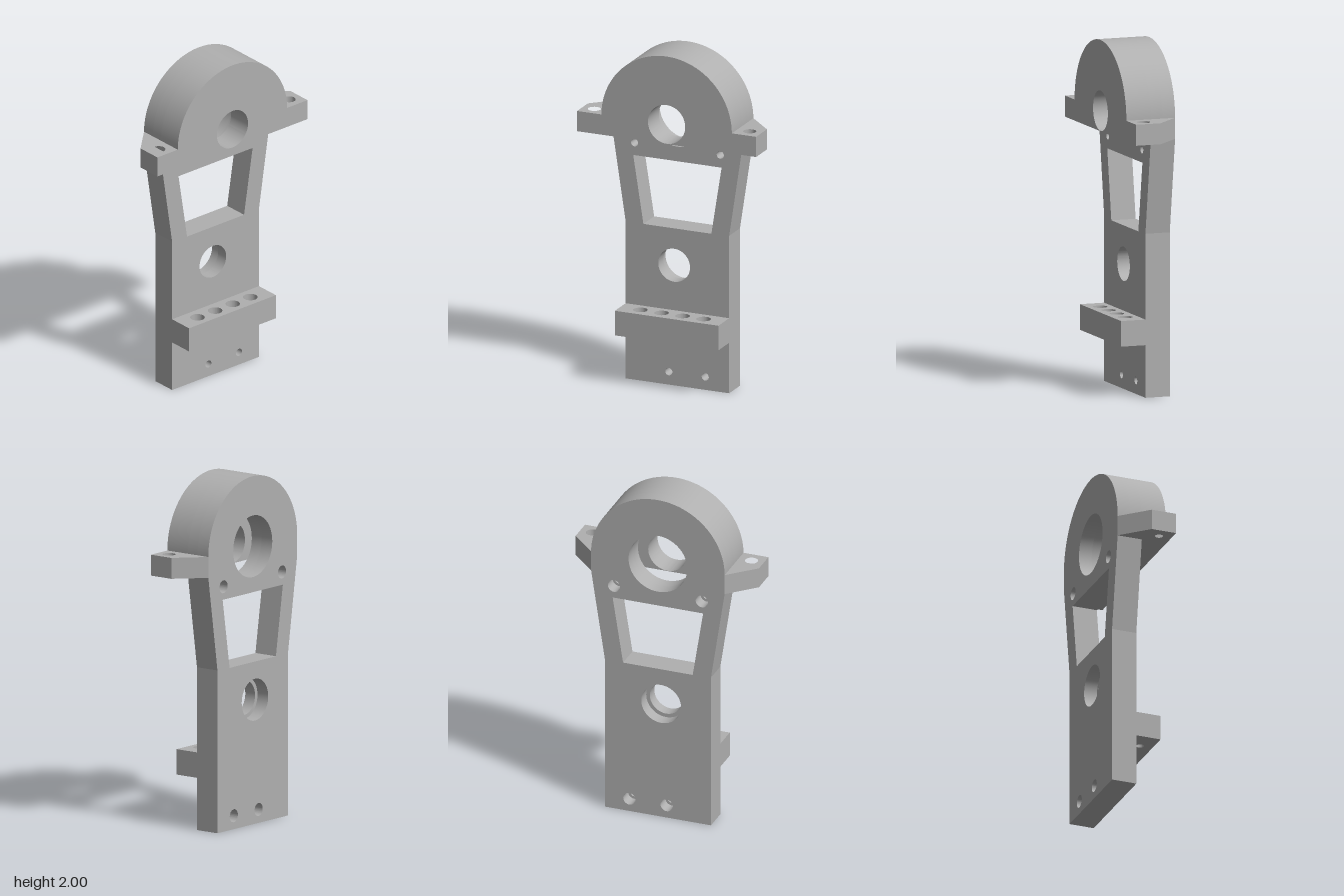
import * as THREE from 'three';
import { toCreasedNormals } from 'three/addons/utils/BufferGeometryUtils.js';

const HALF = 0.147;       // half of the total depth
const AXIS_Y = 1.597;     // height of the bearing axis
const HEAD_R = 0.403;     // radius of the domed head
const SHOULDER = 1.482;   // underside of the head and ears
const SCREW = 0.022, SINK = 0.037; // screw hole and counterbore radii

export function createModel() {
  const model = new THREE.Group();
  const metal = new THREE.MeshStandardMaterial({ color: 0xb0b0b0 });
  metal.name = 'grey metal';

  const polygon = (points) => new THREE.Shape(points.map(([x, y]) => new THREE.Vector2(x, y)));
  const circle = ([x, y], r) => new THREE.Path().absarc(x, y, r, 0, Math.PI * 2, true);
  const extrude = (shape, holes, depth) => {
    shape.holes.push(...holes);
    return new THREE.ExtrudeGeometry(shape, { depth, bevelEnabled: false, curveSegments: 36 });
  };
  const add = (name, geometry) => {
    const mesh = new THREE.Mesh(toCreasedNormals(geometry, 0.12), metal);
    mesh.name = name;
    model.add(mesh);
  };
  // Slab with its profile in x and y, between two depths
  const upright = (name, shape, holes, z0, z1) =>
    add(name, extrude(shape, holes, z1 - z0).translate(0, 0, z0));
  // Slab with its profile in x and z, between two heights
  const level = (name, shape, holes, y0, y1) =>
    add(name, extrude(shape, holes, y1 - y0).rotateX(Math.PI / 2).translate(0, y1, 0));

  // Back plate: two layers, the rear one with wider counterbores
  const plateShape = () => {
    const s = new THREE.Shape();
    s.moveTo(-0.32, 0);
    s.lineTo(0.32, 0);
    s.lineTo(0.32, 0.935);
    s.lineTo(HEAD_R, SHOULDER);
    s.lineTo(HEAD_R, AXIS_Y);
    s.absarc(0, AXIS_Y, HEAD_R, 0, Math.PI, false);
    s.lineTo(-HEAD_R, SHOULDER);
    s.lineTo(-0.32, 0.935);
    s.closePath();
    return s;
  };
  const screws = [[-0.265, 1.407], [0.265, 1.407], [-0.053, 0.077], [0.172, 0.077]];
  const plateHoles = (screwR, shaftR) => [
    polygon([[-0.273, 1.333], [0.273, 1.333], [0.21, 0.932], [-0.21, 0.932]]),
    circle([0, AXIS_Y], 0.177),
    circle([-0.02, 0.713], shaftR),
    ...screws.map((p) => circle(p, screwR)),
  ];
  const step = -0.07;
  upright('plateRear', plateShape(), plateHoles(SINK, 0.12), -HALF, step);
  upright('plateFront', plateShape(), plateHoles(SCREW, 0.098), step, 0);

  // Domed bearing head with the narrower bore
  const head = new THREE.Shape();
  head.moveTo(-HEAD_R, SHOULDER - 0.002);
  head.lineTo(HEAD_R, SHOULDER - 0.002);
  head.lineTo(HEAD_R, AXIS_Y);
  head.absarc(0, AXIS_Y, HEAD_R, 0, Math.PI, false);
  head.closePath();
  upright('bearingHead', head, [circle([0, AXIS_Y], 0.115)], 0, HALF);

  // Mounting ears with chamfered backs and counterbored holes
  for (const [side, s] of [['left', 1], ['right', -1]]) {
    const ear = () => polygon([
      [s * HEAD_R, -HALF], [s * 0.553, 0], [s * 0.553, HALF], [s * HEAD_R, HALF],
    ]);
    const at = [s * 0.48, 0.073];
    level(side + 'EarLower', ear(), [circle(at, SCREW)], SHOULDER - 0.002, 1.54);
    level(side + 'EarUpper', ear(), [circle(at, SINK)], 1.54, 1.6);
  }

  // Cross bar with a row of four counterbored holes
  const bar = () => polygon([[-0.32, 0], [0.32, 0], [0.32, HALF], [-0.32, HALF]]);
  const row = (r) => [-1.5, -0.5, 0.5, 1.5].map((i) => circle([i * 0.13, 0.073], r));
  level('crossBarLower', bar(), row(SCREW), 0.3, 0.37);
  level('crossBarUpper', bar(), row(0.041), 0.37, 0.446);

  return model;
}
